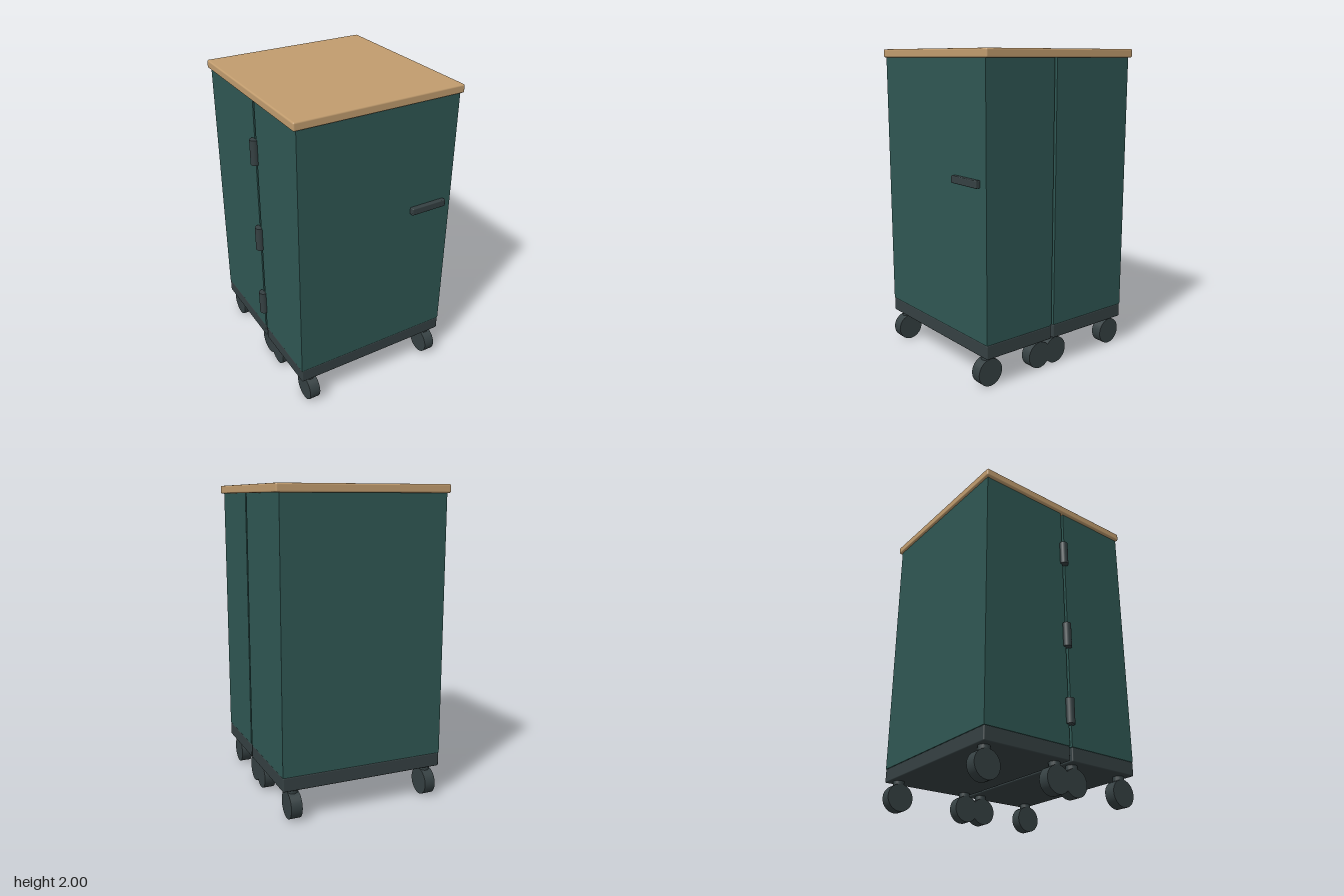
import * as THREE from 'three';
import { RoundedBoxGeometry } from 'three/addons/geometries/RoundedBoxGeometry.js';

export function createModel() {
  const model = new THREE.Group();
  model.name = 'rollingCabinet';

  const mat = (name, color) => {
    const m = new THREE.MeshStandardMaterial({ color });
    m.name = name;
    return m;
  };
  const teal = mat('tealPaint', 0x2f5753);
  const wood = mat('wood', 0xc19c6e);
  const charcoal = mat('charcoal', 0x354042);

  const add = (name, geometry, material, x = 0, y = 0, z = 0, parent = model) => {
    const mesh = new THREE.Mesh(geometry, material);
    mesh.name = name;
    mesh.position.set(x, y, z);
    parent.add(mesh);
    return mesh;
  };

  // Box given by its minimum and maximum corners; bevel rounds the edges
  const box = (name, material, [x0, y0, z0], [x1, y1, z1], bevel = 0) => {
    const size = [x1 - x0, y1 - y0, z1 - z0];
    const geometry = bevel ? new RoundedBoxGeometry(...size, 2, bevel) : new THREE.BoxGeometry(...size);
    return add(name, geometry, material, (x0 + x1) / 2, (y0 + y1) / 2, (z0 + z1) / 2);
  };

  // Two cabinet halves, each on its own plinth, with a narrow gap between
  const left = -0.535, right = 0.545;
  for (const [name, z0, z1] of [['front', 0.063, 0.573], ['back', -0.573, 0.044]]) {
    box(name + 'Body', teal, [left, 0.285, z0], [right, 1.95, z1]);
    box(name + 'Plinth', charcoal, [left, 0.195, z0], [right, 0.285, z1], 0.008);
  }

  // Inner drawer stack and top rail that cross the gap
  box('innerDrawers', teal, [-0.49, 0.345, 0.03], [0.5, 1.06, 0.07]);
  box('innerTopRail', teal, [-0.49, 1.825, 0.03], [0.5, 1.95, 0.07]);

  // Worktop
  box('worktop', wood, [-0.555, 1.948, -0.589], [0.568, 2, 0.584], 0.01);

  // Door handle
  box('handle', charcoal, [0.238, 1.222, 0.57], [0.488, 1.268, 0.603], 0.006);

  // Barrel hinges on the seam
  const hinge = new THREE.CylinderGeometry(0.028, 0.028, 0.162, 20);
  for (const y of [0.5, 1.01, 1.617]) add('hinge', hinge, charcoal, -0.543, y, 0.05);

  // Casters
  const wheel = new THREE.CylinderGeometry(0.087, 0.087, 0.072, 28).rotateZ(Math.PI / 2);
  const stem = new THREE.CylinderGeometry(0.036, 0.036, 0.06, 16);
  for (const x of [-0.457, 0.468]) {
    for (const z of [0.516, 0.122, -0.012, -0.516]) {
      const caster = new THREE.Group();
      caster.name = 'caster';
      caster.position.set(x, 0, z);
      add('wheel', wheel, charcoal, 0, 0.087, 0, caster);
      add('stem', stem, charcoal, 0, 0.175, 0, caster);
      model.add(caster);
    }
  }

  return model;
}
